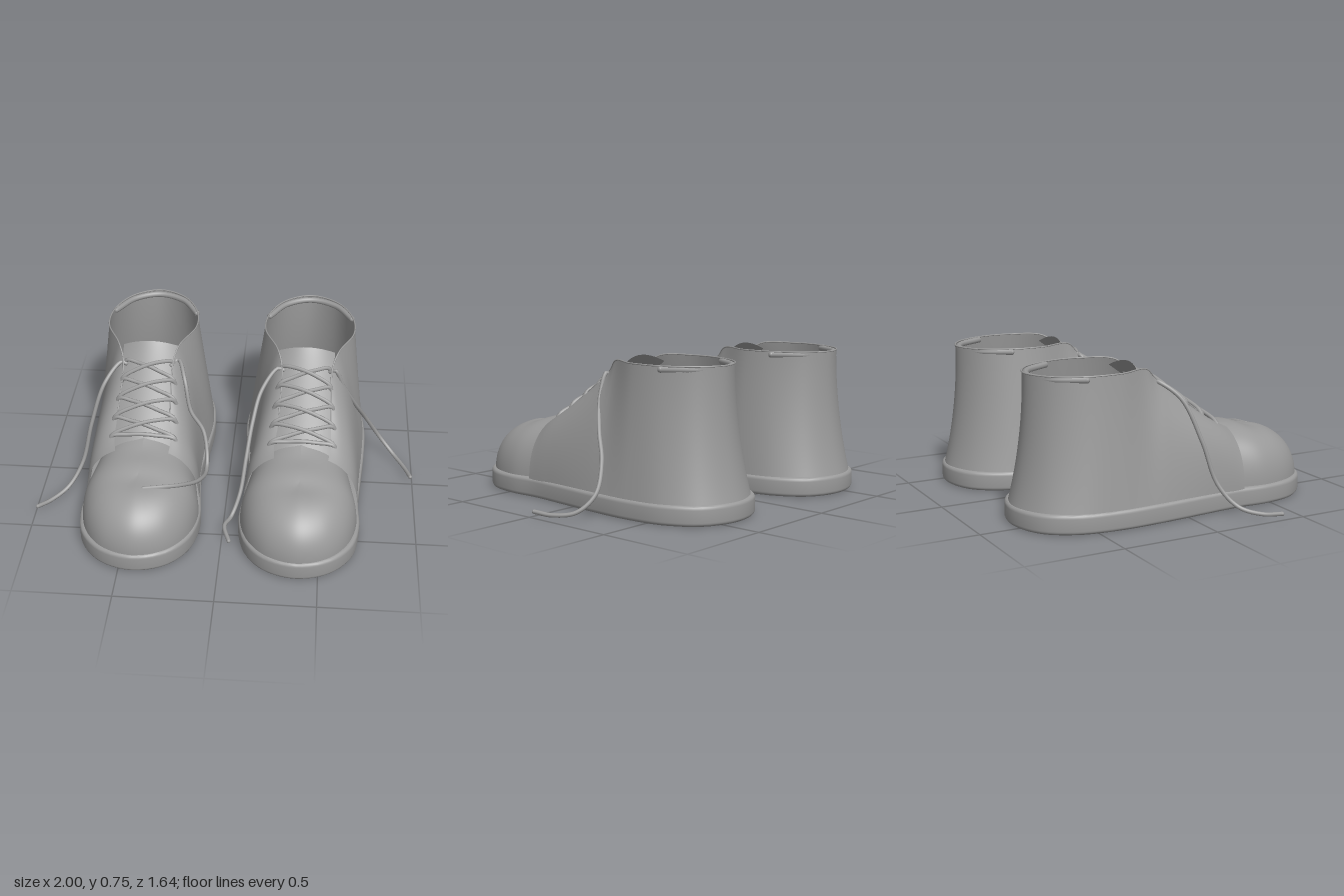
import * as THREE from 'three';
import { toCreasedNormals } from 'three/addons/utils/BufferGeometryUtils.js';
import { ParametricGeometry } from 'three/addons/geometries/ParametricGeometry.js';

const leather = new THREE.MeshStandardMaterial({ color: 0x999999, side: THREE.DoubleSide });
const BASE = 0.09; // height at which the upper meets the sole
const CENTRE = 0.395; // middle line of the lacing

const V = (p) => new THREE.Vector3(...p);
const curve = (pts, closed = false) => new THREE.CatmullRomCurve3(pts.map(V), closed);

function add(group, name, geometry) {
  const mesh = new THREE.Mesh(geometry, leather);
  mesh.name = name;
  group.add(mesh);
  return mesh;
}

function cord(group, name, pts, radius = 0.011, segments = 60) {
  const path = curve(pts);
  add(group, name, new THREE.TubeGeometry(path, segments, radius, 8));
  for (const p of [pts[0], pts[pts.length - 1]]) {
    add(group, name + 'Tip', new THREE.SphereGeometry(radius, 8, 6)).position.set(...p);
  }
}

// Leather panel: each section is a bend from its base [x, z] through a control point to its top edge
function panel(sections, nu, nv, dent = 0) {
  const low = curve(sections.map(([b]) => [b[0], BASE, b[1]]));
  const mid = curve(sections.map((s) => s[1]));
  const top = curve(sections.map((s) => s[2]));
  const geometry = new ParametricGeometry((u, v, target) => {
    const a = low.getPoint(u), b = mid.getPoint(u), c = top.getPoint(u);
    target.set(0, 0, 0)
      .addScaledVector(a, (1 - v) * (1 - v))
      .addScaledVector(b, 2 * v * (1 - v))
      .addScaledVector(c, v * v);
    target.y -= dent * Math.exp(-((target.x - 0.39) ** 2) / 0.02 - ((target.z - 0.52) ** 2) / 0.004);
  }, nu, nv);
  geometry.computeVertexNormals();
  return geometry;
}

// Sole outline as [x, z]
const outline = [
  [0.41, -0.818], [0.60, -0.755], [0.705, -0.6], [0.74, -0.38], [0.735, -0.15], [0.715, 0.1], [0.70, 0.3],
  [0.705, 0.48], [0.667, 0.645], [0.555, 0.77], [0.39, 0.818], [0.23, 0.77], [0.127, 0.655], [0.082, 0.48],
  [0.095, 0.28], [0.11, 0.08], [0.085, -0.18], [0.073, -0.4], [0.107, -0.6], [0.217, -0.76],
];

// Sides and heel, from the outer front edge round the heel to the inner front edge
const quarters = [
  [[0.694, 0.337], [0.69, 0.318, 0.337], [0.53, 0.384, 0.33]],
  [[0.697, 0.26], [0.694, 0.385, 0.26], [0.542, 0.415, 0.265]],
  [[0.70, 0.17], [0.69, 0.45, 0.17], [0.54, 0.472, 0.17]],
  [[0.72, -0.1], [0.66, 0.55, -0.08], [0.535, 0.67, -0.09]],
  [[0.726, -0.2], [0.66, 0.5, -0.19], [0.565, 0.73, -0.16]],
  [[0.729, -0.38], [0.685, 0.45, -0.36], [0.645, 0.738, -0.34]],
  [[0.697, -0.585], [0.655, 0.4, -0.54], [0.635, 0.738, -0.52]],
  [[0.59, -0.742], [0.55, 0.4, -0.68], [0.55, 0.738, -0.67]],
  [[0.41, -0.807], [0.41, 0.4, -0.725], [0.41, 0.738, -0.735]],
  [[0.232, -0.747], [0.27, 0.4, -0.68], [0.27, 0.738, -0.67]],
  [[0.118, -0.595], [0.16, 0.4, -0.55], [0.185, 0.738, -0.52]],
  [[0.083, -0.4], [0.12, 0.45, -0.37], [0.17, 0.738, -0.35]],
  [[0.093, -0.2], [0.145, 0.5, -0.19], [0.245, 0.73, -0.16]],
  [[0.107, -0.1], [0.15, 0.55, -0.08], [0.27, 0.67, -0.09]],
  [[0.112, 0.17], [0.115, 0.45, 0.17], [0.265, 0.472, 0.17]],
  [[0.102, 0.26], [0.103, 0.385, 0.26], [0.25, 0.415, 0.265]],
  [[0.099, 0.337], [0.10, 0.318, 0.337], [0.255, 0.384, 0.33]],
];

// Toe, from the inner side to the tip, then mirrored; the top edges meet on a crest line
const halfToe = [
  [[0.13, 0.2], [0.14, 0.40, 0.2], [0.39, 0.45, 0.2]],
  [[0.109, 0.33], [0.111, 0.40, 0.33], [0.39, 0.398, 0.33]],
  [[0.091, 0.48], [0.093, 0.378, 0.47], [0.39, 0.385, 0.42]],
  [[0.135, 0.642], [0.14, 0.35, 0.633], [0.39, 0.376, 0.47]],
  [[0.235, 0.757], [0.24, 0.328, 0.75], [0.39, 0.371, 0.49]],
  [[0.39, 0.806], [0.39, 0.322, 0.805], [0.39, 0.369, 0.50]],
];
const mirrored = halfToe.slice(0, -1).reverse()
  .map((section) => section.map(([x, ...rest]) => [0.78 - x, ...rest]));
const toe = [...halfToe, ...mirrored];

// Height of the instep along the lacing
const instep = (z) => 0.41 + (0.28 - z) * 0.72;

function addLacing(shoe) {
  const rows = 5;
  const eyelet = (i) => {
    const t = i / (rows - 1);
    return { half: 0.18 - 0.045 * t, z: 0.25 - 0.35 * t };
  };
  // One pass over the tongue from row i on one side to row j on the other
  const pass = (i, j, side, lift) => {
    const a = eyelet(i), b = eyelet(j);
    const at = (s, dy) => {
      const k = (s + 1) / 2;
      const z = a.z + (b.z - a.z) * k;
      const half = a.half + (b.half - a.half) * k;
      return [CENTRE + side * s * half, instep(z) + dy, z];
    };
    cord(shoe, 'lace', [at(-1, -0.045), at(-0.88, -0.009), at(-0.4, 0.003 + lift), at(0, 0.008 + lift),
      at(0.4, 0.003 + lift), at(0.88, -0.009), at(1, -0.045)], 0.011, 24);
  };
  pass(0, 0, 1, 0);
  for (let i = 0; i < rows - 1; i++) {
    pass(i, i + 1, 1, 0);
    pass(i, i + 1, -1, 0.01);
  }
}

function buildShoe(name) {
  const shoe = new THREE.Group();
  shoe.name = name;

  // Sole with rounded edges
  const ring = curve(outline.map(([x, z]) => [x, 0, z]), true).getPoints(96).slice(0, -1);
  const shape = new THREE.Shape(ring.map((p) => new THREE.Vector2(p.x, p.z)));
  const sole = new THREE.ExtrudeGeometry(shape, {
    depth: 0.06, bevelThickness: 0.02, bevelSize: 0.018, bevelOffset: -0.018, bevelSegments: 5,
  });
  sole.rotateX(Math.PI / 2).translate(0, 0.08, 0);
  add(shoe, 'sole', toCreasedNormals(sole, 0.6));

  add(shoe, 'toeCap', panel(toe, 80, 24, 0.014));
  add(shoe, 'quarters', panel(quarters, 144, 20));

  // Thin finished edge, and a padded roll inside the back of the collar
  const rim = quarters.map((s) => s[2]);
  cord(shoe, 'collarEdge', rim.slice(2, -2), 0.004, 128);
  const pad = rim.slice(6, 11).map(([x, y, z], i) => {
    const inset = 0.06 * Math.sin((i / 4) * Math.PI);
    return [x + (0.41 - x) * inset, y - 0.016, z + (-0.38 - z) * inset];
  });
  cord(shoe, 'collarPad', pad, 0.016, 48);

  // Tongue: arched strip that curls up at its free end
  const tongue = new ParametricGeometry((u, v, target) => {
    const s = u * 2 - 1;
    const z = 0.3 - v * 0.47 - 0.025 * s * s * v ** 4;
    target.set(CENTRE + 0.15 * s, instep(z) - (0.04 + 0.02 * v ** 4) * s * s + 0.012 * v ** 8, z);
  }, 16, 24);
  add(shoe, 'tongue', tongue);

  addLacing(shoe);
  return shoe;
}

export function createModel() {
  const model = new THREE.Group();
  model.name = 'pairOfAnkleBoots';
  const left = buildShoe('leftShoe');
  const right = buildShoe('rightShoe');
  right.scale.x = -1;
  right.position.x = -0.035;
  model.add(left, right);

  // Loose lace ends, different on each shoe
  cord(model, 'leftOuterLaceEnd', [[0.525, 0.65, -0.09], [0.55, 0.665, -0.085], [0.60, 0.56, -0.09],
    [0.675, 0.40, -0.155], [0.74, 0.26, -0.235], [0.82, 0.12, -0.27], [0.90, 0.04, -0.22],
    [0.96, 0.022, -0.12], [0.99, 0.03, -0.025]]);
  cord(model, 'leftInnerLaceEnd', [[0.28, 0.65, -0.09], [0.25, 0.66, -0.09], [0.17, 0.57, -0.01],
    [0.13, 0.44, 0.10], [0.105, 0.29, 0.21], [0.08, 0.13, 0.31], [0.04, 0.035, 0.39],
    [0.01, 0.035, 0.47], [0.04, 0.02, 0.57]]);
  cord(model, 'rightOuterLaceEnd', [[-0.555, 0.65, -0.09], [-0.58, 0.66, -0.09], [-0.66, 0.58, 0],
    [-0.73, 0.37, 0.08], [-0.78, 0.16, 0.14], [-0.85, 0.05, 0.22], [-0.93, 0.022, 0.31],
    [-0.99, 0.03, 0.38]]);
  cord(model, 'rightInnerLaceEnd', [[-0.315, 0.65, -0.09], [-0.28, 0.67, -0.12], [-0.235, 0.61, -0.01],
    [-0.20, 0.46, 0.05], [-0.13, 0.35, 0.08], [-0.105, 0.20, 0.19], [-0.13, 0.25, 0.37],
    [-0.21, 0.315, 0.5], [-0.30, 0.337, 0.55], [-0.39, 0.338, 0.57]]);
  return model;
}
